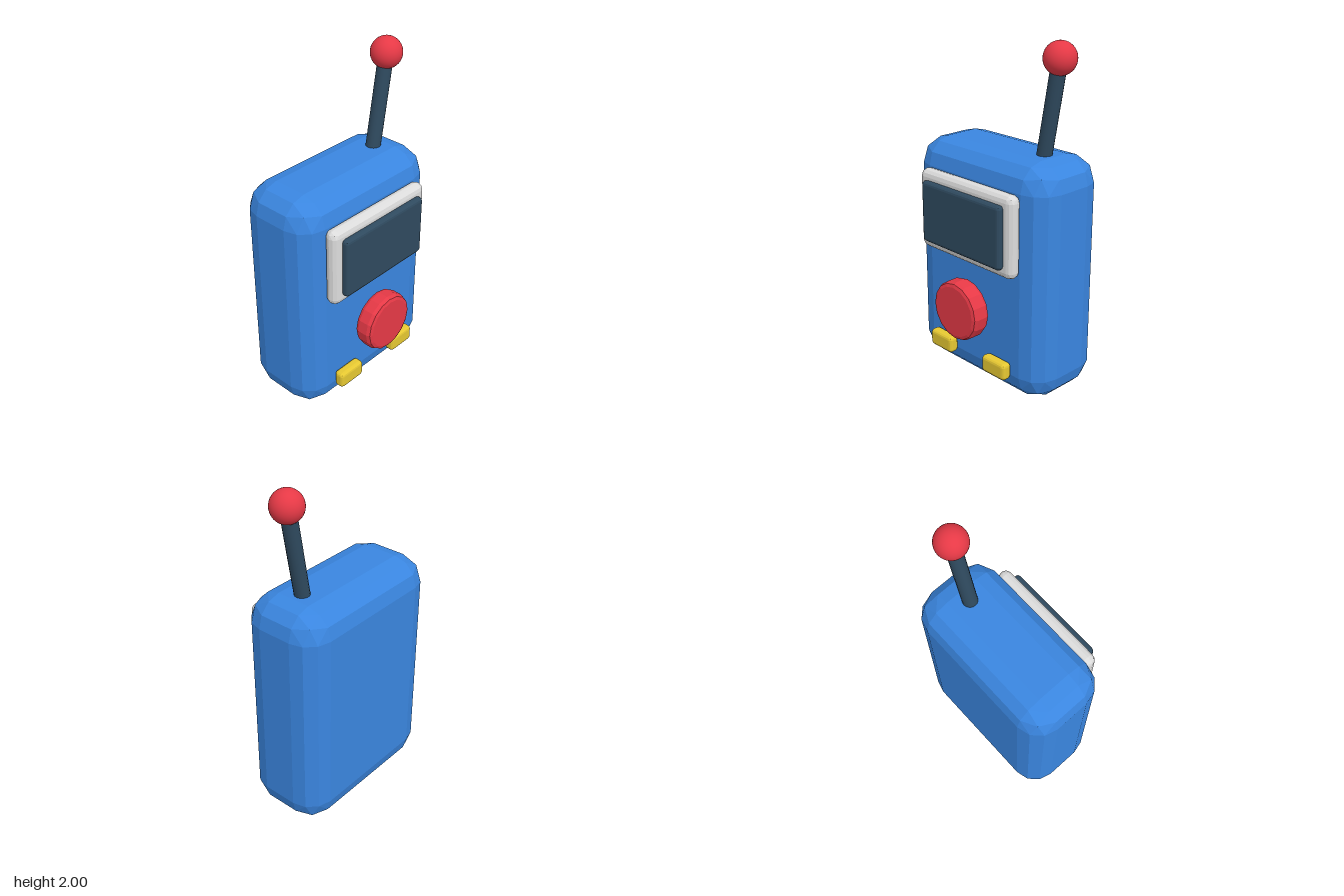
import * as THREE from 'three';
import { ConvexGeometry } from 'three/addons/geometries/ConvexGeometry.js';

const paint = (name, color, flatShading = false) => {
  const m = new THREE.MeshStandardMaterial({ color, flatShading });
  m.name = name;
  return m;
};

// Box with every edge rounded in a few flat facets; sphere-octant points at each corner
function bevelBox(w, h, d, r, n) {
  const pts = [];
  const s = (i) => Math.sin((i / n) * Math.PI / 2);
  for (const sx of [-1, 1]) for (const sy of [-1, 1]) for (const sz of [-1, 1]) {
    for (let i = 0; i <= n; i++) for (let j = 0; j <= n - i; j++) {
      const p = new THREE.Vector3(s(i), s(j), s(n - i - j)).normalize().multiplyScalar(r);
      pts.push(new THREE.Vector3(
        sx * (w / 2 - r + p.x), sy * (h / 2 - r + p.y), sz * (d / 2 - r + p.z)));
    }
  }
  return new ConvexGeometry(pts);
}

export function createModel() {
  const group = new THREE.Group();
  group.name = 'handheldRadio';
  const blue = paint('blue', 0x3a86e0);
  const red = paint('red', 0xe63946);
  const dark = paint('darkSlate', 0x2f4a5f);
  const light = paint('lightGrey', 0xdcdcdc);
  const yellow = paint('yellow', 0xe6c832);

  const add = (name, geometry, material, x, y, z) => {
    const mesh = new THREE.Mesh(geometry, material);
    mesh.name = name;
    mesh.position.set(x, y, z);
    group.add(mesh);
    return mesh;
  };

  // Body
  add('body', bevelBox(1.02, 1.38, 0.505, 0.15, 3), blue, 0, 0.695, -0.077);

  // Display
  add('screenFrame', bevelBox(0.735, 0.47, 0.085, 0.04, 3), light, 0, 1, 0.207);
  add('screen', bevelBox(0.62, 0.36, 0.05, 0.02, 3), dark, 0, 1, 0.26);

  // Round button, standing just off the body
  const profile = [[0, -0.057], [0.148, -0.057], [0.166, -0.05], [0.175, -0.03],
    [0.175, 0.03], [0.166, 0.05], [0.148, 0.057], [0, 0.057]]
    .map(([x, y]) => new THREE.Vector2(x, y));
  const button = new THREE.LatheGeometry(profile, 16).toNonIndexed();
  button.computeVertexNormals();
  button.rotateX(Math.PI / 2);
  add('roundButton', button, red, 0, 0.492, 0.272);

  // Small keys
  for (const side of [-1, 1]) {
    add(side > 0 ? 'leftKey' : 'rightKey',
      bevelBox(0.18, 0.1, 0.064, 0.02, 3), yellow, side * 0.22, 0.19, 0.213);
  }

  // Leaning antenna and its ball tip
  const foot = new THREE.Vector3(0.27, 1.27, -0.076);
  const tip = new THREE.Vector3(0.386, 1.91, -0.076);
  const axis = tip.clone().sub(foot);
  const mid = foot.clone().add(tip).multiplyScalar(0.5);
  const antenna = add('antenna',
    new THREE.CylinderGeometry(0.043, 0.043, axis.length(), 16), dark, mid.x, mid.y, mid.z);
  antenna.quaternion.setFromUnitVectors(new THREE.Vector3(0, 1, 0), axis.normalize());
  add('antennaBall', new THREE.SphereGeometry(0.09, 32, 20), red, tip.x, tip.y, tip.z);

  return group;
}
